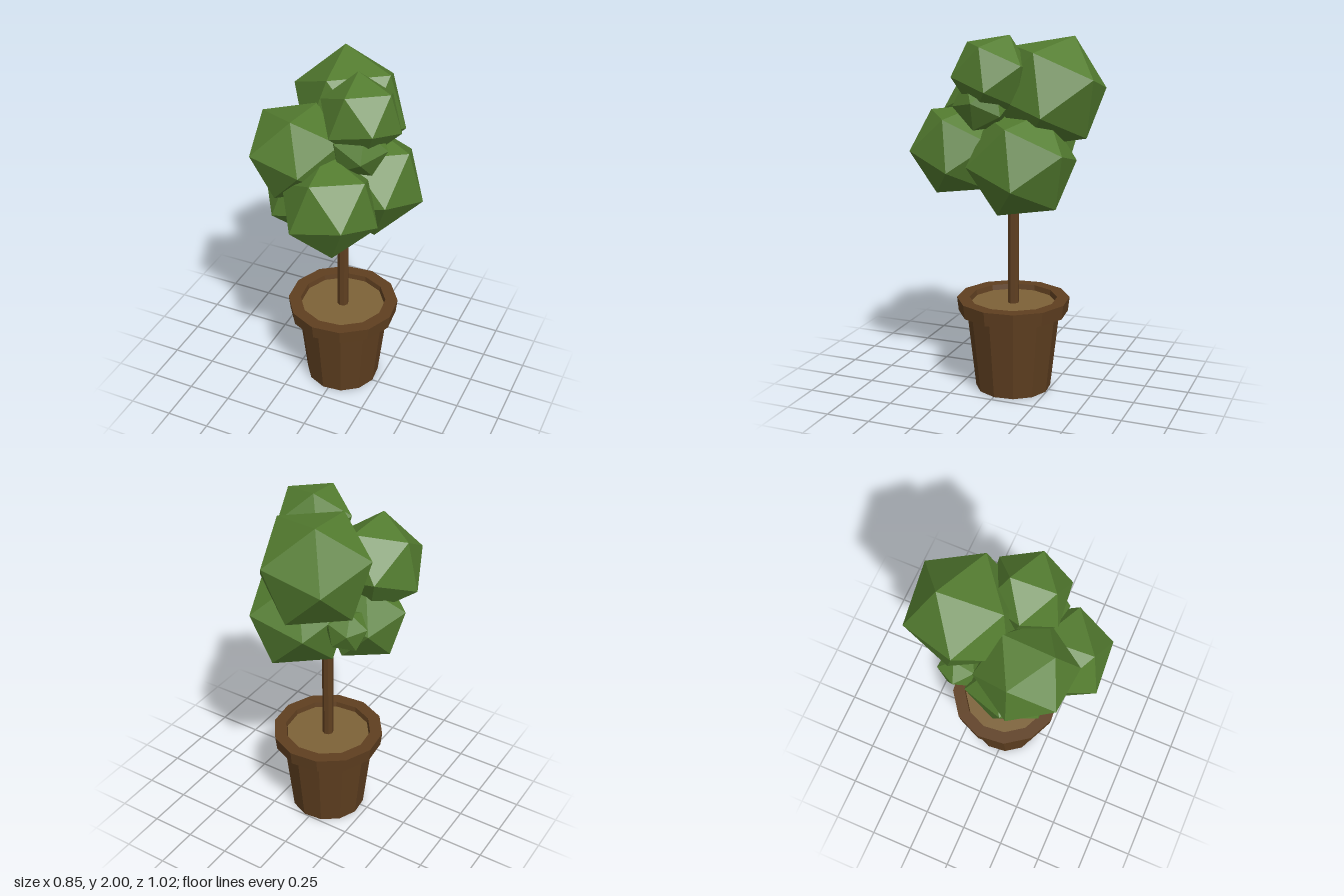
import * as THREE from 'three';

const paint = (color) => new THREE.MeshStandardMaterial({ color, flatShading: true });

// Leaf clumps: radius, centre, and two neighbouring corners that fix the turn
const CLUMPS = [
  ['backTopClump', 0.325, [-0.044, 1.695, -0.227], [-0.123, 1.99, -0.338], [0.088, 1.78, -0.507]],
  ['crownClump', 0.226, [0.132, 1.796, 0.035], [0.08, 2.0, -0.043], [0.107, 1.96, 0.188]],
  ['upperRightClump', 0.273, [-0.182, 1.585, 0.16], [-0.147, 1.825, 0.29], [-0.375, 1.767, 0.137]],
  ['frontClump', 0.273, [0.06, 1.369, 0.267], [0.027, 1.576, 0.445], [-0.056, 1.31, 0.505]],
  ['lowerLeftClump', 0.309, [0.123, 1.325, -0.131], [0.343, 1.54, -0.12], [0.413, 1.23, -0.177]],
  ['lowerRightClump', 0.247, [-0.168, 1.295, 0.065], [-0.392, 1.37, 0.1], [-0.35, 1.125, 0.04]],
  ['smallFrontClump', 0.165, [0.142, 1.645, 0.085], [0.3, 1.68, 0.085], [0.21, 1.49, 0.11]],
  ['smallBackClump', 0.12, [-0.22, 1.37, -0.2], [-0.25, 1.48, -0.22], [-0.28, 1.4, -0.3]],
];

// Icosahedron turned so that one of its edges points along the two corners
function makeClump([name, radius, centre, cornerA, cornerB], material) {
  const c = new THREE.Vector3(...centre);
  const a = new THREE.Vector3(...cornerA).sub(c).normalize();
  const b = new THREE.Vector3(...cornerB).sub(c).normalize();
  const y = a.clone().add(b).normalize();
  const x = b.clone().sub(a).normalize();
  const z = x.clone().cross(y);
  const clump = new THREE.Mesh(new THREE.IcosahedronGeometry(radius, 0), material);
  clump.name = name;
  clump.position.copy(c);
  clump.quaternion.setFromRotationMatrix(new THREE.Matrix4().makeBasis(x, y, z));
  return clump;
}

export function createModel() {
  const model = new THREE.Group();
  model.name = 'pottedTree';
  const sides = 12;

  // Trunk, pot and soil share one axis, slightly behind the middle
  const base = new THREE.Group();
  base.name = 'base';
  base.position.set(0.002, 0, -0.036);
  base.rotation.y = -0.16;
  model.add(base);

  const add = (name, geometry, color, y = 0) => {
    const mesh = new THREE.Mesh(geometry, paint(color));
    mesh.name = name;
    mesh.position.y = y;
    base.add(mesh);
  };

  // Tapered pot with an overhanging rim and an inner wall
  const profile = [
    [0, 0], [0.213, 0], [0.262, 0.45], [0.309, 0.45],
    [0.318, 0.53], [0.247, 0.53], [0.238, 0.48],
  ].map(([r, y]) => new THREE.Vector2(r, y));
  add('pot', new THREE.LatheGeometry(profile, sides), 0x5f3f20);
  add('soil', new THREE.CylinderGeometry(0.241, 0.239, 0.02, sides), 0x7d6238, 0.49);
  add('trunk', new THREE.CylinderGeometry(0.032, 0.032, 0.95, 8), 0x5f3f20, 0.965);

  // Foliage
  const foliage = new THREE.Group();
  foliage.name = 'foliage';
  const leaf = paint(0x547d30);
  for (const clump of CLUMPS) foliage.add(makeClump(clump, leaf));
  model.add(foliage);

  return model;
}
